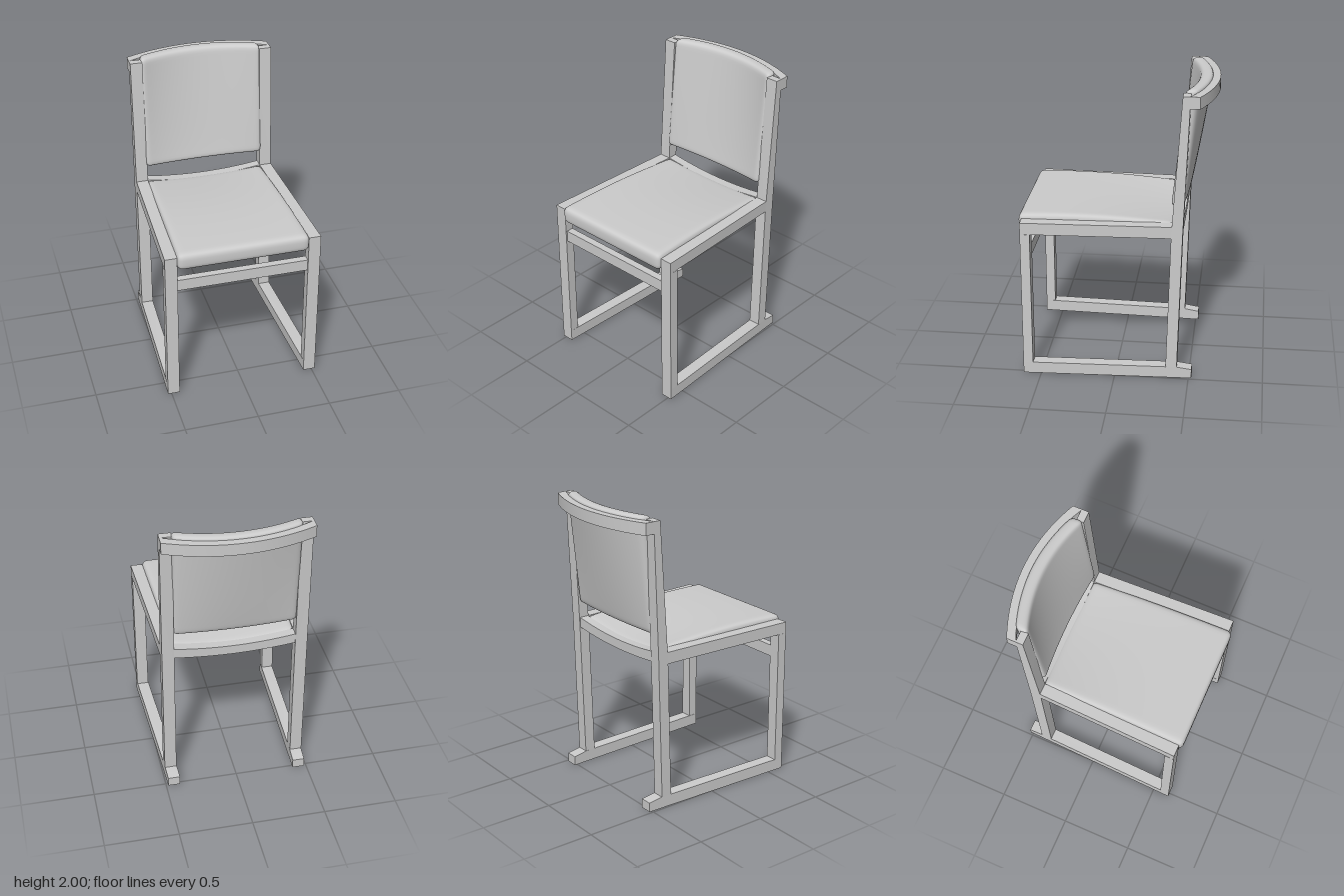
import * as THREE from 'three';
import { mergeVertices, toCreasedNormals } from 'three/addons/utils/BufferGeometryUtils.js';

const material = new THREE.MeshStandardMaterial({ color: 0xcccccc });

// Four-sided beam lofted along an axis. Each station is [position, lo1, hi1, lo2, hi2],
// the ranges being on the two other axes in x, y, z order.
function beam(name, axis, stations) {
  const others = [0, 1, 2].filter((i) => i !== axis);
  const rings = stations.map(([p, a0, a1, b0, b1]) =>
    [[a0, b0], [a1, b0], [a1, b1], [a0, b1]].map(([a, b]) => {
      const v = new THREE.Vector3().setComponent(axis, p);
      return v.setComponent(others[0], a).setComponent(others[1], b);
    }));
  const tris = [];
  const quad = (a, b, c, d) => tris.push([a, b, c], [a, c, d]);
  for (let i = 0; i < rings.length - 1; i++) {
    for (let k = 0; k < 4; k++) {
      const n = (k + 1) % 4;
      quad(rings[i][k], rings[i][n], rings[i + 1][n], rings[i + 1][k]);
    }
  }
  quad(...[...rings[0]].reverse());
  quad(...rings[rings.length - 1]);
  // A negative enclosed volume means the faces point inward
  const cross = new THREE.Vector3();
  const volume = tris.reduce((s, [a, b, c]) => s + a.dot(cross.crossVectors(b, c)), 0);
  if (volume < 0) tris.forEach((t) => t.reverse());
  const geo = new THREE.BufferGeometry().setFromPoints(tris.flat());
  const mesh = new THREE.Mesh(toCreasedNormals(geo, 0.5), material);
  mesh.name = name;
  return mesh;
}

// Soft slab: a box with rounded edges, then bent by a rule
function pad(name, size, radius, segments, rule) {
  const geo = new THREE.BoxGeometry(2, 2, 2, ...segments);
  geo.deleteAttribute('uv');
  geo.deleteAttribute('normal');
  const half = size.clone().multiplyScalar(0.5);
  const core = half.clone().subScalar(radius);
  const pos = geo.attributes.position;
  const p = new THREE.Vector3(), inner = new THREE.Vector3();
  for (let i = 0; i < pos.count; i++) {
    p.fromBufferAttribute(pos, i);
    // crowd the grid lines towards the edges
    for (let k = 0; k < 3; k++) {
      p.setComponent(k, Math.sin(p.getComponent(k) * Math.PI / 2) * half.getComponent(k));
    }
    inner.copy(p).clamp(core.clone().negate(), core);
    p.sub(inner).setLength(radius).add(inner);
    rule(p);
    pos.setXYZ(i, p.x, p.y, p.z);
  }
  const smooth = mergeVertices(geo, 1e-5);
  smooth.computeVertexNormals();
  const mesh = new THREE.Mesh(smooth, material);
  mesh.name = name;
  return mesh;
}

// Stations across the chair for the bowed cross rails
function across(halfWidth, section) {
  const list = [];
  for (let i = 0; i <= 20; i++) {
    const u = i / 10 - 1;
    list.push([u * halfWidth, ...section(1 - u * u)]);
  }
  return list;
}

export function createModel() {
  const chair = new THREE.Group();
  chair.name = 'chair';

  // Side frames narrow slightly towards the back
  const outer = (z) => 0.525 + (z - 0.62) * 0.0354;
  for (const [side, s] of [['left', 1], ['right', -1]]) {
    const frame = new THREE.Group();
    frame.name = side + 'SideFrame';
    const xs = (z) => [s * (outer(z) - 0.082), s * outer(z)];
    const rail = (z, y0, y1) => [z, ...xs(z), y0, y1];
    const post = (y, z0, z1) => [y, s * 0.408, s * 0.49, z0, z1];
    frame.add(
      beam('frontLeg', 1, [[0.08, ...xs(0.62), 0.555, 0.62], [1.02, ...xs(0.62), 0.555, 0.62]]),
      beam('floorRunner', 2, [rail(0.62, 0, 0.08), rail(-0.42, 0, 0.08), rail(-0.52, 0, 0.065)]),
      beam('seatSideRail', 2, [rail(0.62, 1.02, 1.1), rail(-0.38, 1.02, 1.1)]),
      beam('backPost', 1, [post(0.08, -0.42, -0.345), post(1.06, -0.445, -0.37), post(1.98, -0.48, -0.43)]),
    );
    chair.add(frame);
  }

  // Cross rails
  chair.add(
    beam('frontStretcher', 0, [[-0.445, 0.84, 0.92, 0.56, 0.61], [0.445, 0.84, 0.92, 0.56, 0.61]]),
    beam('topRail', 0, across(0.49, (b) => [1.9, 1.98, -0.54 - 0.108 * b, -0.475 - 0.122 * b])),
    beam('seatBackRail', 0, across(0.41, (b) => [1.03 - 0.025 * b, 1.1 - 0.03 * b, -0.44, -0.375])),
  );

  // Seat cushion: tapered, thinner and dished towards the back
  chair.add(pad('seatCushion', new THREE.Vector3(0.89, 0.122, 1.03), 0.04, [28, 10, 28], (p) => {
    const t = (0.515 - p.z) / 1.03;
    const b = 1 - (p.x / 0.445) ** 2;
    const h = (p.y + 0.061) * (1 - 0.22 * t - 0.25 * t * t * b);
    p.x *= 1 - 0.07 * t;
    p.y = 1.007 + h + 0.018 * Math.sin(Math.PI * t);
    p.z += 0.13 - 0.012 * b * t;
  }));

  // Back cushion: leaning, and hollowed more towards the top
  chair.add(pad('backCushion', new THREE.Vector3(0.83, 0.79, 0.085), 0.032, [28, 28, 10], (p) => {
    const t = (p.y + 0.395) / 0.79;
    const b = 1 - (p.x / 0.415) ** 2;
    p.y += 1.605;
    p.z += -0.4 - 0.075 * t - b * (0.02 + 0.065 * Math.pow(Math.max(t, 0), 0.8));
  }));

  return chair;
}
